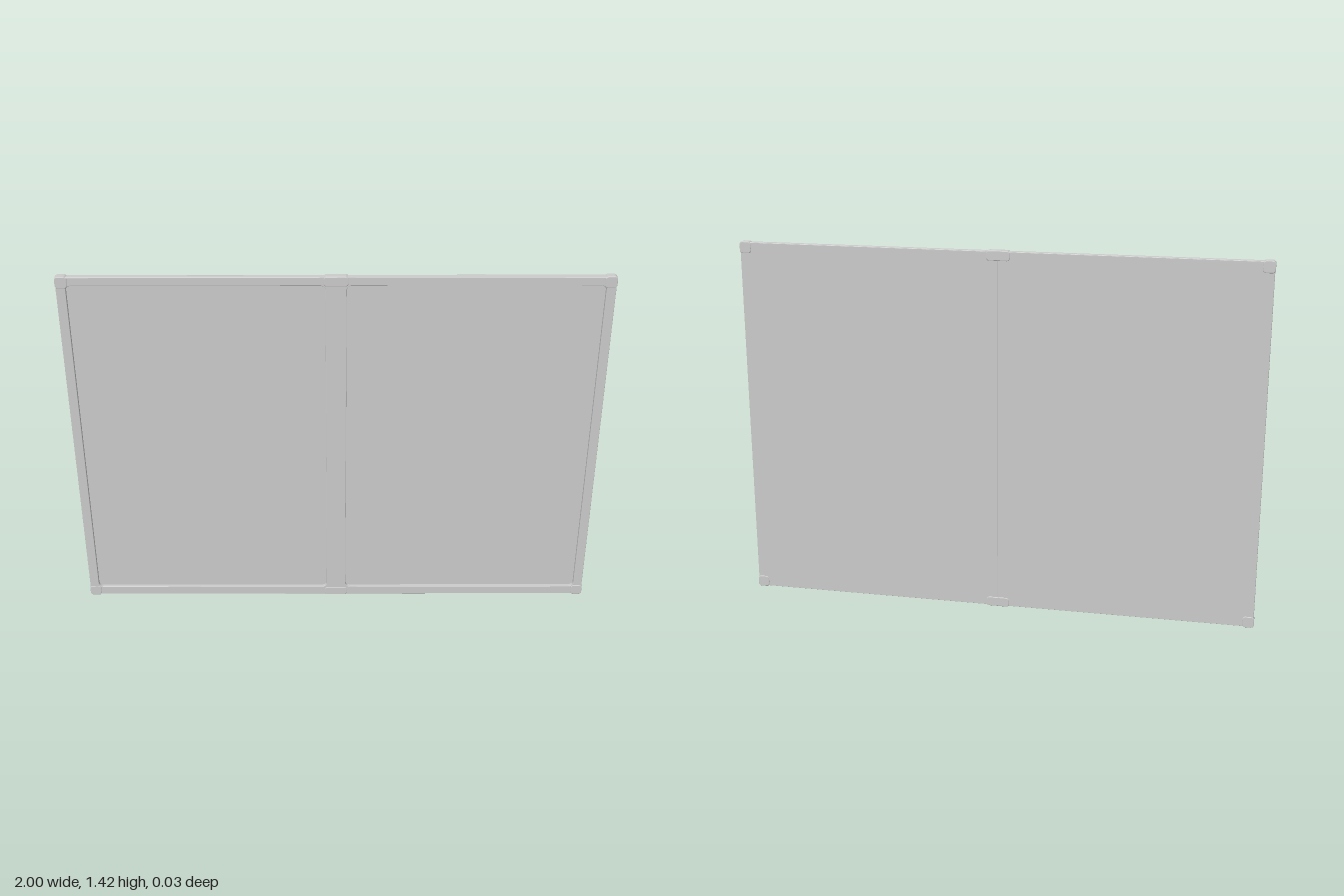
import * as THREE from 'three';

const H = 1.42;
const material = new THREE.MeshStandardMaterial({ color: 0xcccccc });

// Rounded rectangle between two corners, as a Shape or a hole Path
function roundedRect(path, x0, y0, x1, y1, r) {
  path.moveTo(x0 + r, y0);
  path.lineTo(x1 - r, y0);
  path.absarc(x1 - r, y0 + r, r, -Math.PI / 2, 0);
  path.lineTo(x1, y1 - r);
  path.absarc(x1 - r, y1 - r, r, 0, Math.PI / 2);
  path.lineTo(x0 + r, y1);
  path.absarc(x0 + r, y1 - r, r, Math.PI / 2, Math.PI);
  path.lineTo(x0, y0 + r);
  path.absarc(x0 + r, y0 + r, r, Math.PI, Math.PI * 1.5);
  return path;
}

// Extrude a shape between two depths with softened edges that keep its outline
function slab(name, shape, z0, z1, bevel) {
  const geometry = new THREE.ExtrudeGeometry(shape, {
    depth: z1 - z0 - 2 * bevel,
    bevelEnabled: bevel > 0,
    bevelSize: bevel,
    bevelThickness: bevel,
    bevelOffset: -bevel,
    bevelSegments: 3,
    curveSegments: 6,
  });
  geometry.translate(0, 0, z0 + bevel);
  const mesh = new THREE.Mesh(geometry, material);
  mesh.name = name;
  return mesh;
}

export function createModel() {
  const group = new THREE.Group();
  group.name = 'doublePanelBoard';

  // Frame with two rounded openings and a shared centre post
  const frame = roundedRect(new THREE.Shape(), -0.998, 0.003, 0.998, H - 0.003, 0.012);
  frame.holes.push(
    roundedRect(new THREE.Path(), -0.963, 0.04, -0.038, H - 0.036, 0.018),
    roundedRect(new THREE.Path(), 0.038, 0.04, 0.963, H - 0.036, 0.018),
  );
  group.add(slab('frame', frame, -0.009, 0.0125, 0.002));

  // Two back panels with a narrow seam between them; their faces sit recessed in the openings
  for (const side of [-1, 1]) {
    const x0 = side < 0 ? -0.997 : 0.002;
    const panel = roundedRect(new THREE.Shape(), x0, 0.004, x0 + 0.995, H - 0.004, 0.008);
    group.add(slab(side < 0 ? 'rightPanel' : 'leftPanel', panel, -0.0125, -0.001, 0.001));
  }

  // Protective caps on the corners and at both ends of the centre post
  for (const [end, label] of [[0, 'bottom'], [1, 'top']]) {
    for (const [x, width, height, name] of [
      [-0.9775, 0.045, 0.045, 'RightCornerCap'],
      [0, 0.09, 0.038, 'CentreCap'],
      [0.9775, 0.045, 0.045, 'LeftCornerCap'],
    ]) {
      const y0 = end ? H - height : 0;
      const cap = roundedRect(new THREE.Shape(), x - width / 2, y0, x + width / 2, y0 + height, 0.012);
      group.add(slab(label + name, cap, -0.0145, 0.0145, 0.003));
    }
  }
  return group;
}
